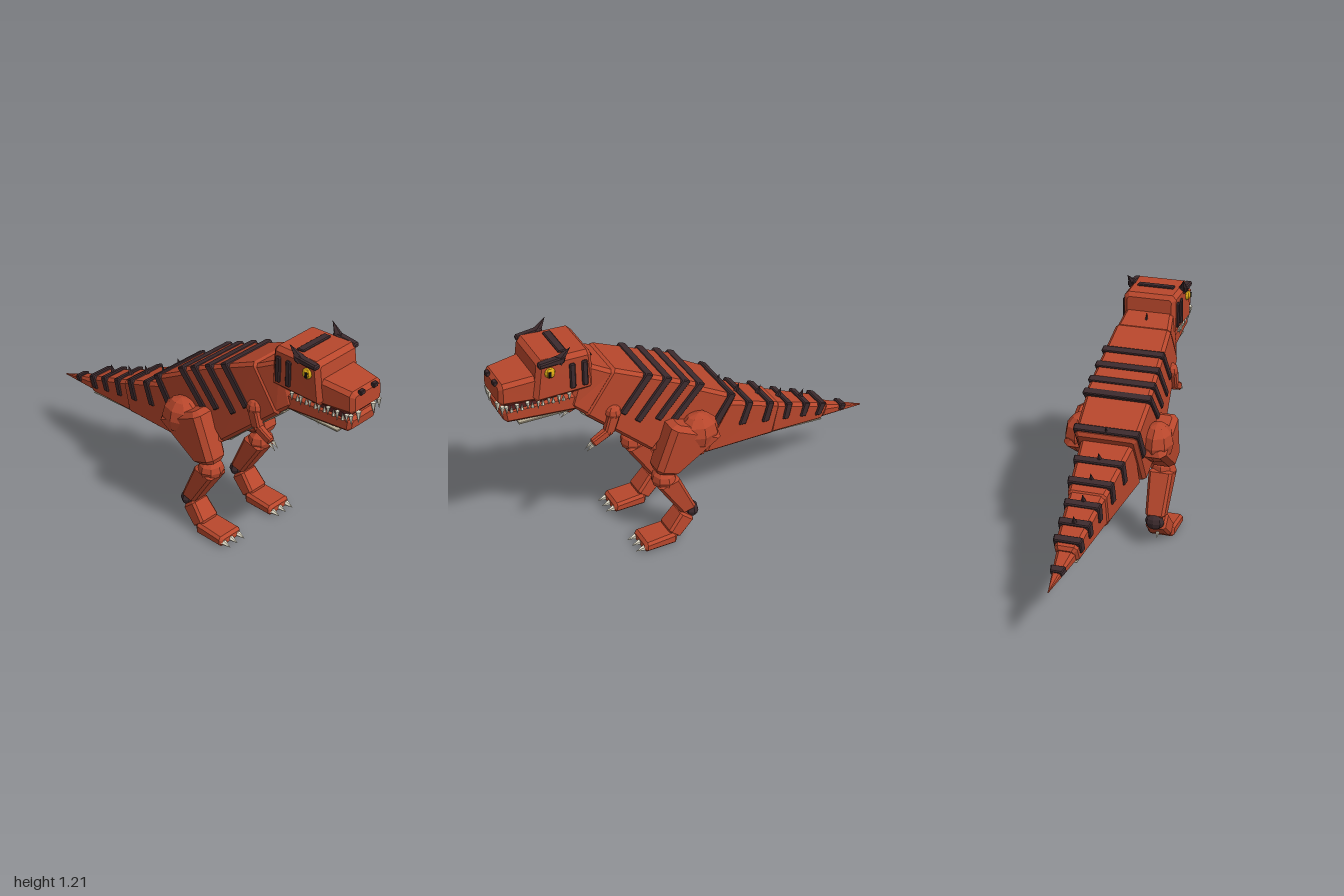
import * as THREE from 'three';

const mat = (name, color) => {
  const m = new THREE.MeshStandardMaterial({ color, flatShading: true });
  m.name = name;
  return m;
};

export function createModel() {
  const model = new THREE.Group();
  model.name = 'dinosaur';
  const hide = mat('rust hide', 0xb8472c), dark = mat('dark stripe', 0x3c2a2d);
  const belly = mat('belly cream', 0xb5ab93), bone = mat('bone', 0xe2dcc8);
  const gold = mat('eye gold', 0xd9a814), black = mat('pupil black', 0x141014);
  const mouthRed = mat('mouth', 0x5a2222);

  const add = (geo, material, name) => {
    const mesh = new THREE.Mesh(geo, material);
    mesh.name = name;
    model.add(mesh);
    return mesh;
  };

  // A cross-section: upper point, lower point, half width and middle z
  const sec = (tx, ty, bx, by, w, z = 0) => ({ t: new THREE.Vector2(tx, ty), b: new THREE.Vector2(bx, by), w, z });
  const mix = (a, b, u) => ({
    t: a.t.clone().lerp(b.t, u), b: a.b.clone().lerp(b.b, u),
    w: a.w + (b.w - a.w) * u, z: a.z + (b.z - a.z) * u,
  });
  // Keep the slice of a section between heights f0 and f1 (0 = bottom, 1 = top)
  const slice = (s, f0, f1, w) => ({ t: s.b.clone().lerp(s.t, f1), b: s.b.clone().lerp(s.t, f0), w, z: s.z });

  // Eight-sided ring around a section, with cut corners
  const ring = (s, k, inset, shift) => {
    const c = s.t.clone().add(s.b).multiplyScalar(0.5).add(shift);
    const d = s.t.clone().sub(s.b);
    const h0 = d.length() / 2, dir = d.normalize();
    const kk = Math.min(k, h0 * 0.5, s.w * 0.5);
    const h = h0 - inset * kk, w = s.w - inset * kk, q = kk * (inset ? 0.5 : 1);
    return [[h, w - q], [h - q, w], [q - h, w], [-h, w - q], [-h, q - w], [q - h, -w], [h - q, -w], [h, q - w]]
      .map(([p, z]) => new THREE.Vector3(c.x + dir.x * p, c.y + dir.y * p, s.z + z));
  };

  // Bevelled block lofted between two sections
  function block(a, b, material, name, k = 0.016) {
    const axis = b.t.clone().add(b.b).sub(a.t).sub(a.b).normalize().multiplyScalar(k);
    const zero = new THREE.Vector2();
    const rings = [ring(a, k, 1, zero), ring(a, k, 0, axis), ring(b, k, 0, axis.clone().negate()), ring(b, k, 1, zero)];
    const tris = [];
    for (let r = 0; r < 3; r++) for (let i = 0; i < 8; i++) {
      const j = (i + 1) % 8, A = rings[r], B = rings[r + 1];
      tris.push([A[i], A[j], B[j]], [A[i], B[j], B[i]]);
    }
    for (let i = 1; i < 7; i++) {
      tris.push([rings[0][0], rings[0][i + 1], rings[0][i]], [rings[3][0], rings[3][i], rings[3][i + 1]]);
    }
    // Turn the faces outward whichever way the loft runs
    const mid = rings[0][0].clone().add(rings[0][4]).add(rings[3][0]).add(rings[3][4]).multiplyScalar(0.25);
    let vol = 0;
    for (const [p, q, r] of tris) {
      vol += p.clone().sub(mid).dot(q.clone().sub(mid).cross(r.clone().sub(mid)));
    }
    const pts = tris.flatMap(([p, q, r]) => (vol < 0 ? [p, r, q] : [p, q, r]));
    const geo = new THREE.BufferGeometry().setFromPoints(pts);
    geo.computeVertexNormals();
    return add(geo, material, name);
  }

  // Upright bevelled box from x, y ranges
  const box = (x0, x1, y0, y1, w, z, material, name, k = 0.005) =>
    block(sec(x0, y1, x0, y0, w, z), sec(x1, y1, x1, y0, w, z), material, name, k);

  // Pointed cone from base to tip
  function spike(from, to, r, material, name) {
    const a = new THREE.Vector3(...from), d = new THREE.Vector3(...to).sub(a);
    const geo = new THREE.ConeGeometry(r, d.length(), 5);
    geo.translate(0, d.length() / 2, 0);
    const mesh = add(geo, material, name);
    mesh.quaternion.setFromUnitVectors(new THREE.Vector3(0, 1, 0), d.normalize());
    mesh.position.copy(a);
  }

  function ball(x, y, z, rx, ry, rz, material, name) {
    const mesh = add(new THREE.SphereGeometry(1, 8, 6), material, name);
    mesh.scale.set(rx, ry, rz);
    mesh.position.set(x, y, z);
  }

  // Spine sections from neck to tail: [front, back, stripes as [u, depth], belly half widths]
  const spine = [
    ['neck', sec(0.59, 1.09, 0.66, 0.87, 0.12), sec(0.44, 1.01, 0.58, 0.81, 0.138), [], 0.09, 0.105],
    ['chest', sec(0.45, 1.03, 0.6, 0.815, 0.142), sec(0, 0.825, 0.27, 0.53, 0.165), [[0.38, 0.7], [0.59, 0.72], [0.79, 0.6], [0.96, 0.55]], 0.105, 0.122],
    ['hips', sec(0.03, 0.82, 0.28, 0.53, 0.163), sec(-0.19, 0.7, -0.01, 0.4, 0.155), [[0.84, 0.5]], 0.105, 0.1],
    ['tailBase', sec(-0.13, 0.67, -0.02, 0.4, 0.132), sec(-0.47, 0.54, -0.43, 0.366, 0.095), [[0.43, 0.5], [0.8, 0.52]], 0.1, 0.075],
    ['tailMiddle', sec(-0.44, 0.54, -0.41, 0.37, 0.088), sec(-0.78, 0.42, -0.74, 0.333, 0.055), [[0.24, 0.55], [0.56, 0.55], [0.85, 0.6]], 0.075, 0.045],
    ['tailTip', sec(-0.75, 0.405, -0.73, 0.34, 0.045), sec(-1, 0.325, -1, 0.315, 0.004), [[0.5, 0.6]], 0, 0],
  ];
  for (const [name, a, b, stripes, w0, w1] of spine) {
    block(a, b, hide, name);
    const length = a.t.distanceTo(b.t);
    for (const [u, depth] of stripes) {
      const du = 0.02 / length;
      const [p, q] = [u - du, u + du].map((v) => {
        const s = mix(a, b, v), grow = 0.01 / s.t.distanceTo(s.b);
        return slice(s, 1 - depth, 1 + grow, s.w + 0.008);
      });
      block(p, q, dark, 'backStripe', 0.005);
    }
    if (w0) block(slice(a, -0.02, 0.02, w0), slice(b, -0.02, 0.02, w1), belly, name + 'Belly', 0.002);
  }
  // Small spines along the ridge
  for (const [x, y] of [[-0.15, 0.7], [-0.26, 0.62], [-0.38, 0.57], [-0.5, 0.52], [-0.63, 0.475]]) {
    spike([x, y - 0.01, 0], [x - 0.02, y + 0.045, 0], 0.018, dark, 'backSpine');
  }
  spike([0.5, 1.03, 0], [0.51, 1.075, 0], 0.01, dark, 'neckSpine');

  // Head
  block(sec(0.55, 1.155, 0.54, 0.95, 0.135), sec(0.81, 1.16, 0.84, 0.95, 0.14), hide, 'skull', 0.02);
  block(sec(0.8, 1.08, 0.8, 0.95, 0.122), sec(0.985, 1.065, 0.99, 0.955, 0.105), hide, 'snout', 0.018);
  box(0.58, 0.95, 0.92, 0.955, 0.095, 0, mouthRed, 'mouthInside');
  block(sec(0.58, 0.935, 0.58, 0.84, 0.118), sec(0.975, 0.93, 0.965, 0.855, 0.095), hide, 'lowerJaw');
  box(0.6, 0.9, 0.832, 0.841, 0.09, 0, belly, 'throatPlate', 0.002);
  box(0.655, 0.695, 1.15, 1.166, 0.095, 0, dark, 'crownStripe');

  for (const s of [1, -1]) {
    // Cheek stripes, eye, brow, horn and nostril
    for (const x of [0.575, 0.635]) box(x, x + 0.028, 0.985, 1.115, 0.01, s * 0.137, dark, 'cheekStripe');
    ball(0.757, 1.097, s * 0.14, 0.026, 0.026, 0.02, gold, 'eye');
    box(0.758, 0.77, 1.085, 1.11, 0.004, s * 0.158, black, 'pupil', 0.001);
    block(sec(0.68, 1.168, 0.69, 1.135, 0.02, s * 0.135), sec(0.81, 1.155, 0.81, 1.13, 0.017, s * 0.135), dark, 'brow', 0.006);
    spike([0.715, 1.14, s * 0.132], [0.657, 1.208, s * 0.147], 0.027, dark, 'horn');
    box(0.975, 0.996, 1.045, 1.067, 0.015, s * 0.045, dark, 'nostril', 0.003);

    // Teeth
    for (let i = 0; i < 7; i++) {
      const x = 0.665 + i * 0.049, z = s * (0.128 - i * 0.0035), size = i % 2 ? 0.05 : 0.04;
      spike([x, 0.957, z], [x, 0.957 - size, z], 0.011, bone, 'upperTooth');
      if (i < 6) spike([x + 0.025, 0.92, z * 0.92], [x + 0.025, 0.955, z * 0.95], 0.009, bone, 'lowerTooth');
    }
    spike([0.98, 0.957, s * 0.052], [0.985, 0.9, s * 0.052], 0.014, bone, 'frontTooth');
    spike([0.975, 0.957, s * 0.098], [0.98, 0.905, s * 0.098], 0.012, bone, 'frontTooth');

    // Arm
    ball(0.46, 0.8, s * 0.145, 0.04, 0.04, 0.035, hide, 'shoulder');
    block(sec(0.435, 0.79, 0.49, 0.8, 0.024, s * 0.15), sec(0.465, 0.7, 0.515, 0.715, 0.021, s * 0.152), hide, 'upperArm', 0.008);
    ball(0.49, 0.71, s * 0.152, 0.026, 0.026, 0.023, hide, 'elbow');
    block(sec(0.5, 0.73, 0.485, 0.69, 0.019, s * 0.152), sec(0.585, 0.685, 0.565, 0.65, 0.016, s * 0.155), hide, 'forearm', 0.007);
    for (const dz of [-0.011, 0.011]) {
      spike([0.575, 0.665, s * 0.155 + dz], [0.61, 0.637, s * 0.155 + dz], 0.009, bone, 'fingerClaw');
    }

    // Leg
    block(sec(0.19, 0.7, -0.07, 0.58, 0.072, s * 0.188), sec(0.295, 0.44, 0.17, 0.395, 0.063, s * 0.187), hide, 'thigh', 0.025);
    ball(0.045, 0.6, s * 0.195, 0.105, 0.1, 0.08, hide, 'hip');
    ball(0.222, 0.37, s * 0.178, 0.062, 0.055, 0.068, hide, 'knee');
    block(sec(0.275, 0.355, 0.165, 0.385, 0.061, s * 0.176), sec(0.14, 0.145, 0.06, 0.165, 0.05, s * 0.176), hide, 'shin', 0.014);
    ball(0.078, 0.14, s * 0.176, 0.038, 0.042, 0.05, dark, 'ankle');
    block(sec(0.145, 0.165, 0.075, 0.105, 0.052, s * 0.177), sec(0.225, 0.07, 0.165, 0.02, 0.06, s * 0.178), hide, 'lowerLeg', 0.012);
    block(sec(0.18, 0.065, 0.18, 0.003, 0.07, s * 0.178), sec(0.355, 0.055, 0.36, 0.003, 0.073, s * 0.178), hide, 'foot', 0.014);
    for (const dz of [-0.05, 0, 0.05]) {
      spike([0.345, 0.026, s * 0.178 + dz], [0.4, 0.016, s * 0.178 + dz], 0.018, bone, 'toeClaw');
    }
    spike([0.145, 0.065, s * 0.177], [0.11, 0.025, s * 0.177], 0.014, bone, 'heelClaw');
  }
  return model;
}
